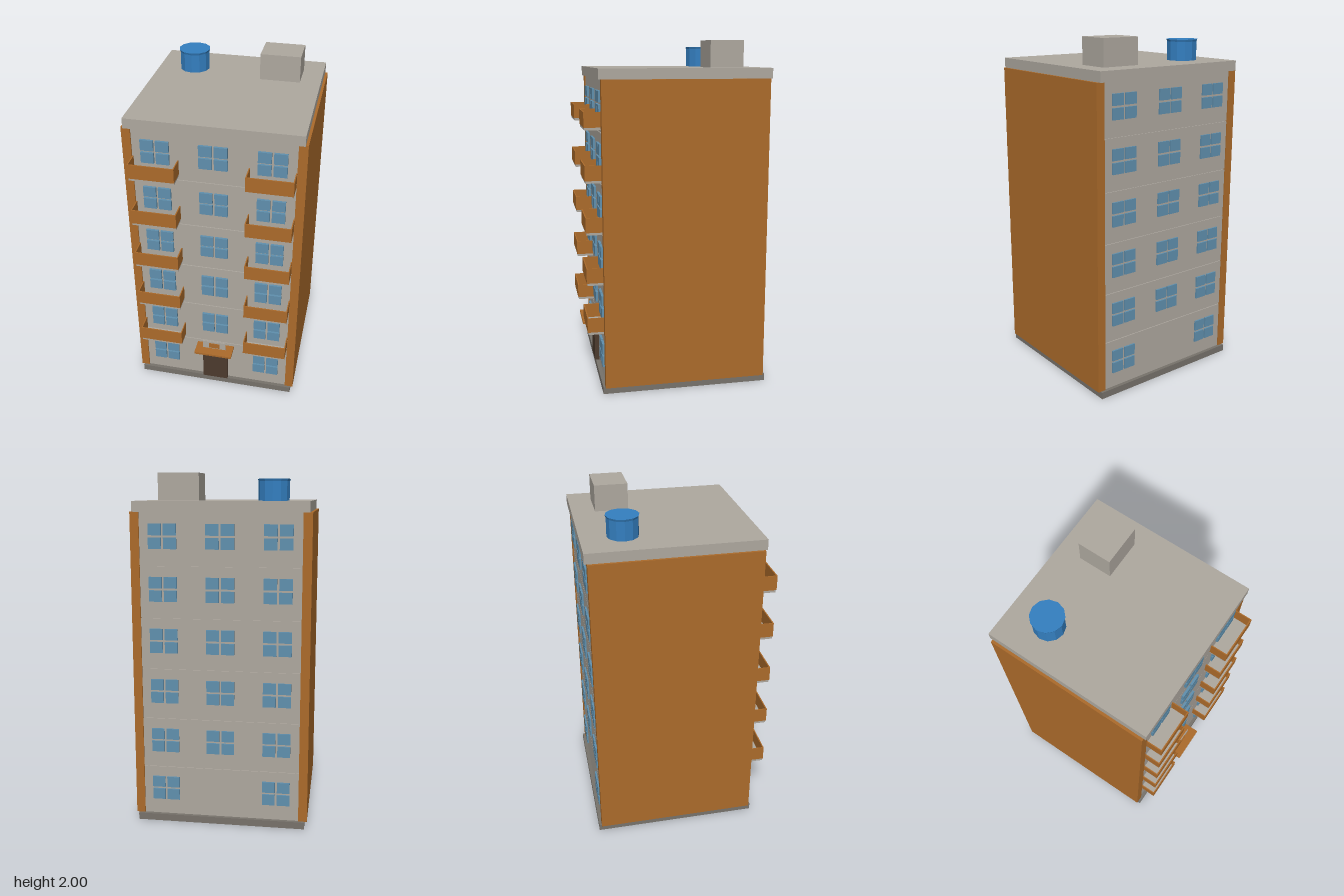
import * as THREE from 'three';

const mat = (name, color) => {
  const m = new THREE.MeshStandardMaterial({ color });
  m.name = name;
  return m;
};

export function createModel() {
  const wall = mat('warm grey concrete', 0xaea89f);
  const base = mat('dark grey plinth', 0x77726b);
  const ochre = mat('ochre panel', 0xac6b2b);
  const glass = mat('blue glass', 0x6090ae);
  const wood = mat('dark brown door', 0x4c3a2d);
  const blue = mat('blue tank', 0x347fc0);
  blue.flatShading = true;

  const model = new THREE.Group();
  model.name = 'apartmentBlock';

  // Box given by its limits on each axis
  const box = (name, m, [x0, x1], [y0, y1], [z0, z1], parent = model) => {
    const mesh = new THREE.Mesh(new THREE.BoxGeometry(x1 - x0, y1 - y0, z1 - z0), m);
    mesh.position.set((x0 + x1) / 2, (y0 + y1) / 2, (z0 + z1) / 2);
    mesh.name = name;
    parent.add(mesh);
    return mesh;
  };

  const FLOORS = 6, PITCH = 0.2917, Y0 = 0.04, TOP = 1.79;
  const FRONT = 0.424, BACK = -0.504;

  // Plinth, core, roof slab and side panels
  box('plinth', base, [-0.485, 0.485], [0, Y0], [-0.525, 0.445]);
  box('core', wall, [-0.45, 0.45], [Y0, TOP], [BACK + 0.006, FRONT - 0.006]);
  box('roofSlab', wall, [-0.485, 0.485], [TOP, 1.848], [-0.525, 0.445]);
  box('leftSidePanel', ochre, [0.45, 0.5], [Y0, TOP], [-0.51, 0.432]);
  box('rightSidePanel', ochre, [-0.5, -0.45], [Y0, TOP], [-0.51, 0.432]);

  // Four-pane window standing slightly proud of the facade
  const addWindow = (x, y, z0, z1) => {
    const g = new THREE.Group();
    g.name = 'window';
    for (const sx of [-1, 1]) for (const sy of [-1, 1]) {
      const pane = new THREE.Mesh(new THREE.BoxGeometry(0.073, 0.063, z1 - z0), glass);
      pane.position.set(sx * 0.0425, sy * 0.0375, 0);
      pane.name = 'pane';
      g.add(pane);
    }
    g.position.set(x, y, (z0 + z1) / 2);
    model.add(g);
  };

  // Balcony: floor slab with a thin parapet on three sides
  const addBalcony = (side, y) => {
    const g = new THREE.Group();
    g.name = side > 0 ? 'leftBalcony' : 'rightBalcony';
    const x0 = side > 0 ? 0.192 : -0.449, x1 = x0 + 0.257;
    box('balconyFloor', wall, [x0 + 0.002, x1 - 0.002], [y, y + 0.016], [FRONT, 0.521], g);
    const h = [y + 0.014, y + 0.099];
    box('frontParapet', ochre, [x0, x1], h, [0.518, 0.525], g);
    box('parapetEnd', ochre, [x0, x0 + 0.006], h, [FRONT, 0.518], g);
    box('parapetEnd', ochre, [x1 - 0.006, x1], h, [FRONT, 0.518], g);
    model.add(g);
  };

  // Storeys, separated by shallow joints
  for (let i = 0; i < FLOORS; i++) {
    const y = Y0 + i * PITCH;
    box('storey', wall, [-0.45, 0.45], [y, y + PITCH - (i < FLOORS - 1 ? 0.005 : 0)], [BACK, FRONT]);
    for (const x of [-0.32, 0, 0.32]) {
      if (i === 0 && x === 0) continue;
      addWindow(x, y + 0.159, FRONT, 0.438);
      addWindow(x, y + 0.159, -0.514, BACK);
    }
    if (i > 0) for (const side of [-1, 1]) addBalcony(side, 0.352 + (i - 1) * PITCH);
  }

  // Entrance: door, canopy and a small plate above it
  box('door', wood, [-0.079, 0.079], [Y0, 0.295], [FRONT, 0.45]);
  box('canopy', ochre, [-0.116, 0.116], [0.295, 0.308], [FRONT, 0.523]);
  box('entrancePlate', wall, [-0.072, 0.072], [0.308, 0.362], [0.463, 0.468]);
  box('entrancePlateInset', ochre, [-0.033, 0.033], [0.317, 0.35], [0.468, 0.473]);

  // Roof: stair housing and twelve-sided water tank
  box('stairHousing', wall, [0.135, 0.367], [1.848, 2], [-0.39, -0.198]);
  const tank = new THREE.Group();
  tank.name = 'waterTank';
  const body = new THREE.Mesh(new THREE.CylinderGeometry(0.087, 0.087, 0.107, 12), blue);
  body.name = 'tankBody';
  body.position.y = 0.0535;
  const lid = new THREE.Mesh(new THREE.CylinderGeometry(0.092, 0.088, 0.012, 12), blue);
  lid.name = 'tankLid';
  lid.position.y = 0.113;
  tank.add(body, lid);
  tank.position.set(-0.273, 1.848, -0.293);
  model.add(tank);

  return model;
}
